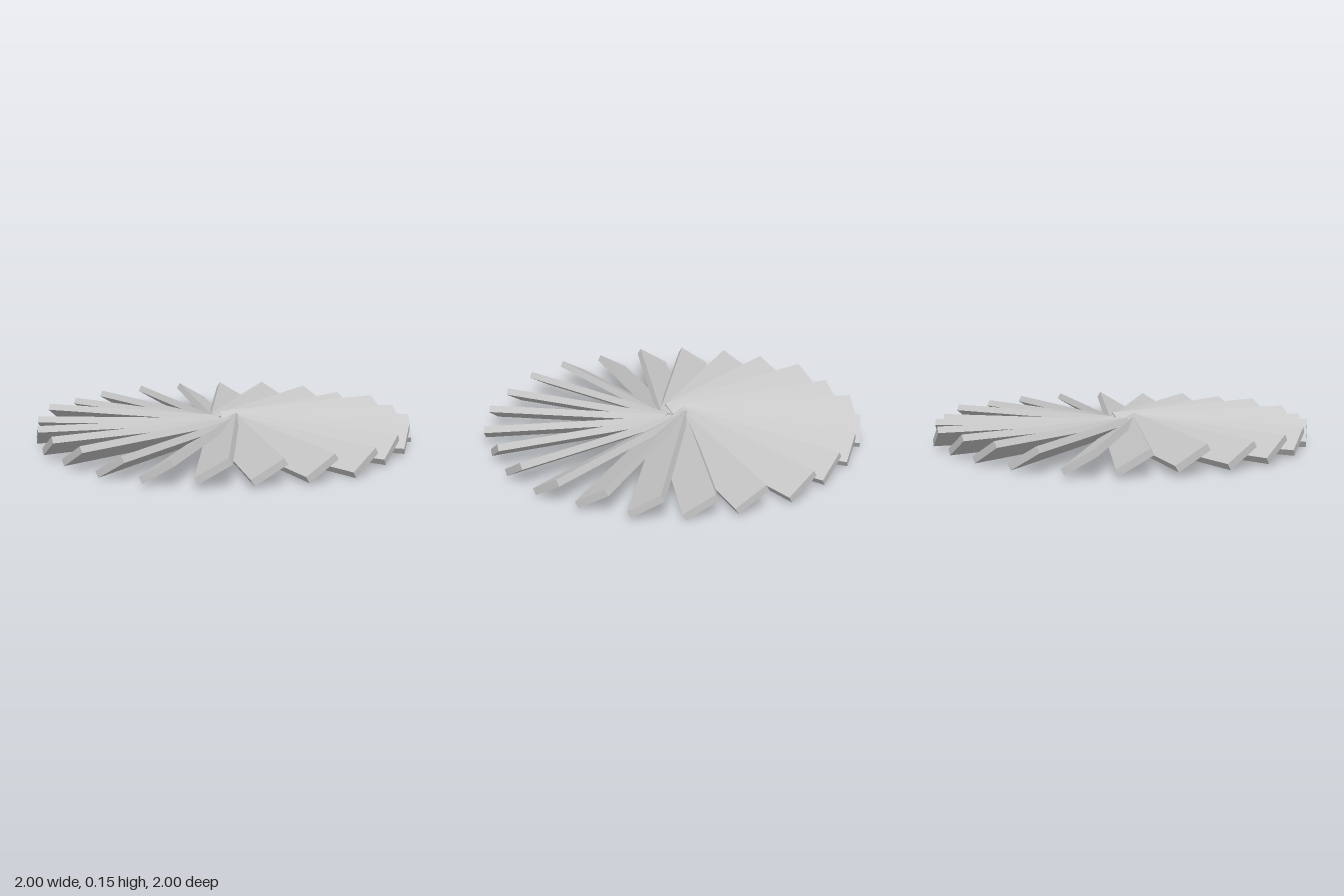
import * as THREE from 'three';

// Wheel of 24 pitched blades meeting in the middle, each set slightly by hand.
const TIP = [ // tip radius of each blade, clockwise from the back
  1.0, 0.982, 0.977, 1.0, 0.984, 0.977, 1.0, 0.982, 0.993, 0.985, 0.984, 1.008,
  1.0, 0.986, 0.991, 1.007, 0.993, 0.996, 1.0, 1.004, 0.999, 1.007, 0.988, 1.007,
];
const SIDE = [ // sideways shift of each blade
  0.005, -0.004, -0.007, -0.005, 0.015, 0.005, 0, 0.011, 0.006, 0.012, 0.011, 0.016,
  0.012, 0.01, 0.008, 0.01, 0.005, 0.003, 0, 0, -0.018, -0.007, -0.001, -0.01,
];
const LIFT = { 3: 0.004, 5: -0.011, 6: 0.006, 11: -0.01, 14: 0.011, 16: -0.01, 21: 0.013 };

const LENGTH = 1, WIDTH = 0.183, THICKNESS = 0.036;
const PITCH = THREE.MathUtils.degToRad(31);

export function createModel() {
  const model = new THREE.Group();
  model.name = 'bladeWheel';
  const grey = new THREE.MeshStandardMaterial({ color: 0xc8c8c8 });
  grey.name = 'light grey';

  // One plank pointing to the back, pitched about its long axis
  const plank = new THREE.BoxGeometry(WIDTH, THICKNESS, LENGTH);
  plank.rotateZ(-PITCH);

  TIP.forEach((tip, i) => {
    const arm = new THREE.Group();
    arm.name = `bladeArm${i + 1}`;
    arm.rotation.y = -i * Math.PI * 2 / TIP.length;
    const blade = new THREE.Mesh(plank, grey);
    blade.name = `blade${i + 1}`;
    blade.position.set(SIDE[i], 0.0735 + (LIFT[i] || 0), -(tip - LENGTH / 2));
    arm.add(blade);
    model.add(arm);
  });
  return model;
}
